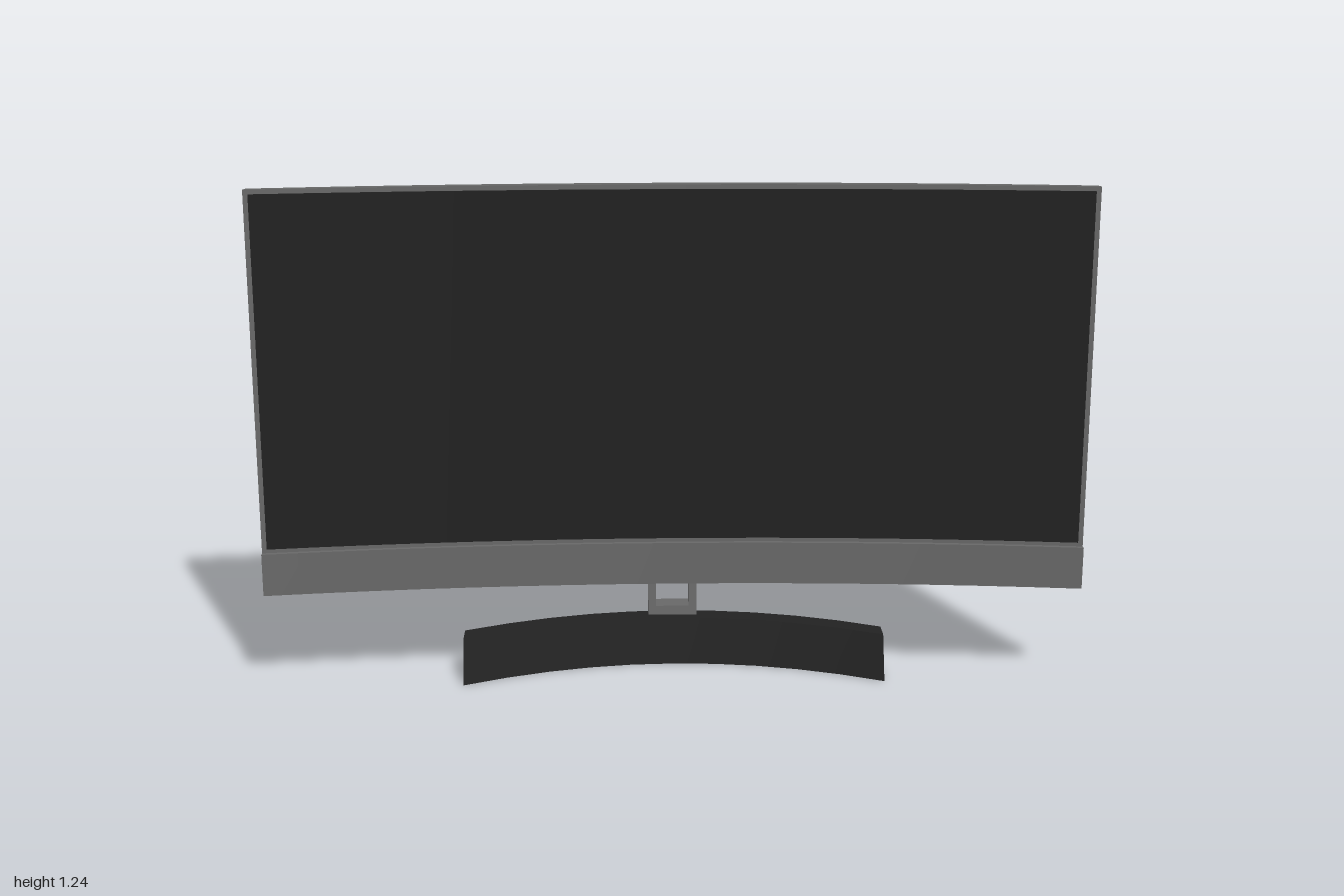
import * as THREE from 'three';
import { mergeGeometries } from 'three/addons/utils/BufferGeometryUtils.js';

// Sweep a counter-clockwise [z, y] profile along x; edges of the profile stay crisp,
// while the surface is smooth along x.
function sweep(profile, half, n) {
  const rows = [];
  for (let i = 0; i <= n; i++) {
    const x = -half + (2 * half * i) / n;
    rows.push({ x, pts: profile(x) });
  }
  const make = (pos, index) => {
    const g = new THREE.BufferGeometry();
    g.setAttribute('position', new THREE.Float32BufferAttribute(pos, 3));
    g.setIndex(index);
    g.computeVertexNormals();
    return g;
  };
  const count = rows[0].pts.length;
  const parts = [];
  for (let k = 0; k < count; k++) {
    const pos = [], index = [];
    rows.forEach(({ x, pts }, i) => {
      const a = pts[k], b = pts[(k + 1) % count];
      pos.push(x, a[1], a[0], x, b[1], b[0]);
      if (i < n) {
        const j = i * 2;
        index.push(j, j + 2, j + 3, j, j + 3, j + 1);
      }
    });
    parts.push(make(pos, index));
  }
  // End caps
  for (const row of [rows[0], rows[n]]) {
    const contour = row.pts.map(([z, y]) => new THREE.Vector2(z, y));
    const faces = THREE.ShapeUtils.triangulateShape(contour, []);
    const index = faces.flatMap(([a, b, c]) => (row.x < 0 ? [a, b, c] : [a, c, b]));
    parts.push(make(row.pts.flatMap(([z, y]) => [row.x, y, z]), index));
  }
  return mergeGeometries(parts);
}

export function createModel() {
  const grey = new THREE.MeshStandardMaterial({ color: 0x696969 });
  grey.name = 'grey casing';
  const black = new THREE.MeshStandardMaterial({ color: 0x222222 });
  black.name = 'black';

  const model = new THREE.Group();
  model.name = 'curvedMonitor';
  const add = (name, geometry, material, parent = model) => {
    const mesh = new THREE.Mesh(geometry, material);
    mesh.name = name;
    parent.add(mesh);
    return mesh;
  };

  // Curved, slightly reclined front surface of the display
  const TOP = 1.235, BOTTOM = 0.25;
  const front = (x, y) => 0.06 + 0.064 * x * x + 0.022 * (TOP - y);

  // Casing: thin at the top, bulging at the lower middle
  add('casing', sweep((x) => {
    const topBack = 0.008 + 0.076 * x * x;
    const lowBack = -0.045 + 0.15 * Math.abs(x) ** 2.5;
    return [
      [front(x, BOTTOM), BOTTOM], [front(x, TOP), TOP], [topBack, TOP - 0.003],
      [lowBack + 0.002, 0.35], [lowBack, BOTTOM],
    ];
  }, 1, 16), grey);

  // Chin below the screen
  add('chin', sweep((x) => {
    const z = front(x, BOTTOM) + 0.011;
    return [[z - 0.03, BOTTOM], [z, BOTTOM], [z - 0.002, 0.355], [z - 0.03, 0.355]];
  }, 1, 16), grey);

  // Screen plate
  add('screen', sweep((x) => {
    const lo = front(x, 0.365), hi = front(x, 1.224);
    return [[lo - 0.003, 0.365], [lo + 0.003, 0.365], [hi + 0.003, 1.224], [hi - 0.003, 1.224]];
  }, 0.988, 16), black);

  // Arched foot with a sloping front
  add('foot', sweep((x) => {
    const arch = 0.13 * (x / 0.525) ** 2;
    return [[arch - 0.1, 0], [arch, 0], [arch - 0.046, 0.107], [arch - 0.1, 0.107]];
  }, 0.525, 10), black);

  // Round mount on the back
  const mount = add('mount', new THREE.CylinderGeometry(0.105, 0.105, 0.147, 40), black);
  mount.rotation.x = Math.PI / 2;
  mount.position.set(0, 0.52, -0.0835);

  // Bent neck with a window: two rails joined by blocks at both ends
  const neck = new THREE.Group();
  neck.name = 'neck';
  model.add(neck);
  const bend = 0.35;
  const neckFront = (y) => -0.103 + 0.138 * Math.max(0, bend - y);
  const neckBack = (y) => -0.155 + 0.138 * Math.max(0, bend - y);
  const neckPiece = (name, heights, x, half) => {
    const pts = [
      ...heights.map((y) => [neckFront(y), y]),
      ...[...heights].reverse().map((y) => [neckBack(y), y]),
    ];
    add(name, sweep(() => pts, half, 1), grey, neck).position.x = x;
  };
  for (const side of [-1, 1]) neckPiece('neckRail', [0, bend, 0.435], side * 0.052, 0.01);
  neckPiece('neckLowerBlock', [0, 0.13], 0, 0.042);
  neckPiece('neckUpperBlock', [0.32, bend, 0.435], 0, 0.042);

  return model;
}
